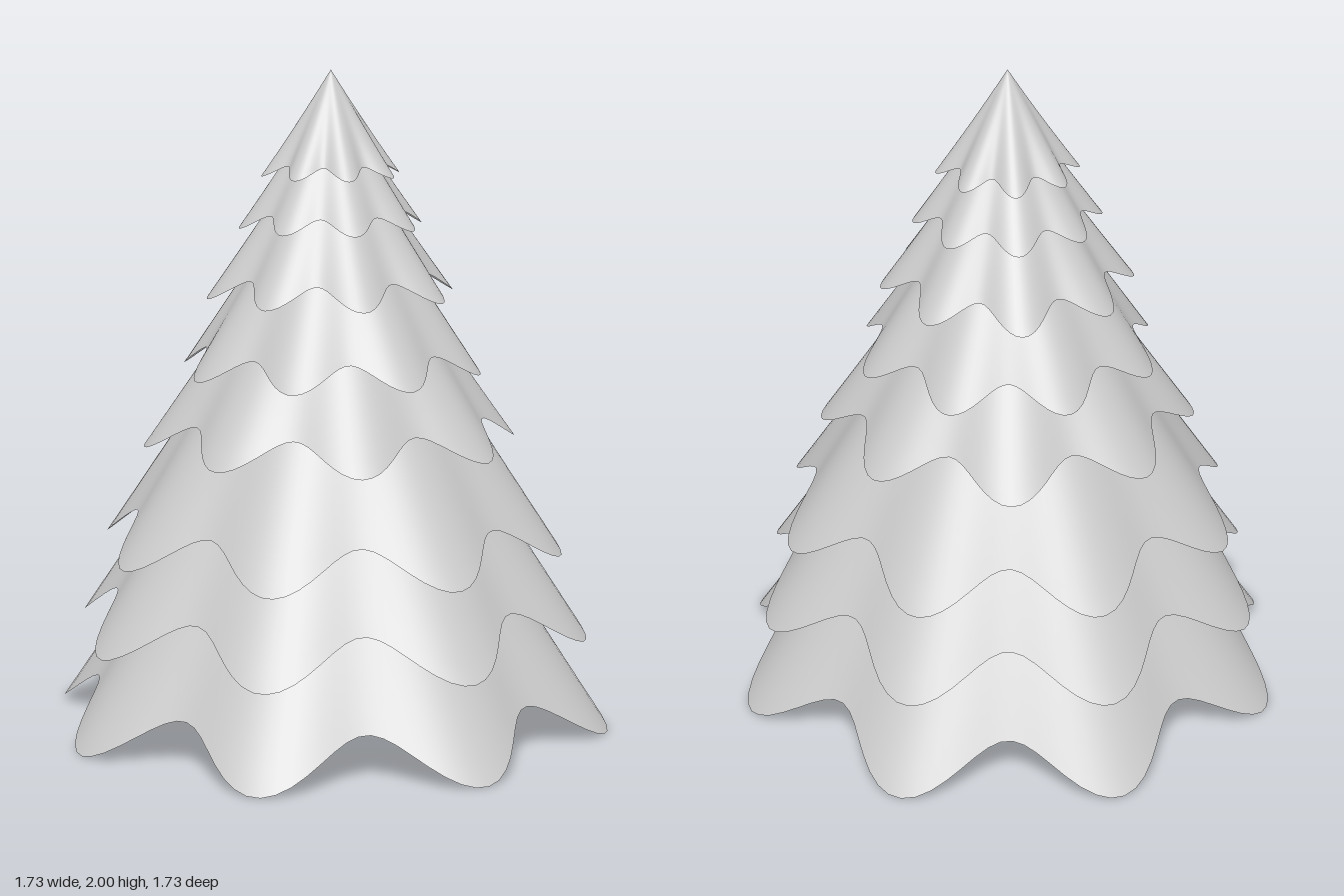
import * as THREE from 'three';
import { mergeVertices } from 'three/addons/utils/BufferGeometryUtils.js';

const LOBES = 8, RINGS = 20, SIDES = 128;

// Each tier: apex height, lobe radius and height, valley radius and height, lobe angle in degrees
const TIERS = [
  [1.32, 0.870, 0.000, 0.720, 0.145, -6.5],
  [1.50, 0.800, 0.285, 0.660, 0.420, -6.5],
  [1.63, 0.720, 0.545, 0.595, 0.665, -6.5],
  [1.70, 0.575, 0.865, 0.470, 0.955, 17],
  [1.79, 0.465, 1.090, 0.380, 1.165, -6.5],
  [1.87, 0.385, 1.320, 0.300, 1.385, 22.5],
  [1.94, 0.285, 1.530, 0.225, 1.575, 22.5],
  [2.00, 0.215, 1.685, 0.160, 1.720, 22.5],
];

// An open cone whose scalloped flutes grow from the apex to the rim
function tierGeometry([apex, lobeR, lobeY, valleyR, valleyY, degrees]) {
  const radius = (lobeR + valleyR) / 2, flare = (lobeR - valleyR) / 2;
  const rimY = (lobeY + valleyY) / 2, drop = (valleyY - lobeY) / 2;
  const phase = THREE.MathUtils.degToRad(degrees);

  // Unit cone: radius equals the distance t from the apex
  const profile = [];
  for (let i = 0; i <= RINGS; i++) {
    const t = 1 - i / RINGS;
    profile.push(new THREE.Vector2(t, 1 - t));
  }
  let geometry = new THREE.LatheGeometry(profile, SIDES);
  const p = geometry.attributes.position;
  for (let i = 0; i < p.count; i++) {
    const t = 1 - p.getY(i);
    const angle = Math.atan2(p.getX(i), p.getZ(i));
    const wave = t * t * Math.cos(LOBES * (angle - phase));
    const r = radius * t + flare * wave;
    const y = apex - (apex - rimY) * t - drop * wave;
    p.setXYZ(i, r * Math.sin(angle), y, r * Math.cos(angle));
  }

  // Weld the seam so that the shading is smooth all round
  geometry.deleteAttribute('uv');
  geometry.deleteAttribute('normal');
  geometry = mergeVertices(geometry, 1e-5);
  geometry.computeVertexNormals();
  return geometry;
}

export function createModel() {
  const tree = new THREE.Group();
  tree.name = 'tree';
  const material = new THREE.MeshStandardMaterial({ color: 0xcccccc, side: THREE.DoubleSide });
  TIERS.forEach((tier, i) => {
    const mesh = new THREE.Mesh(tierGeometry(tier), material);
    mesh.name = `foliageTier${i + 1}`;
    tree.add(mesh);
  });
  return tree;
}
